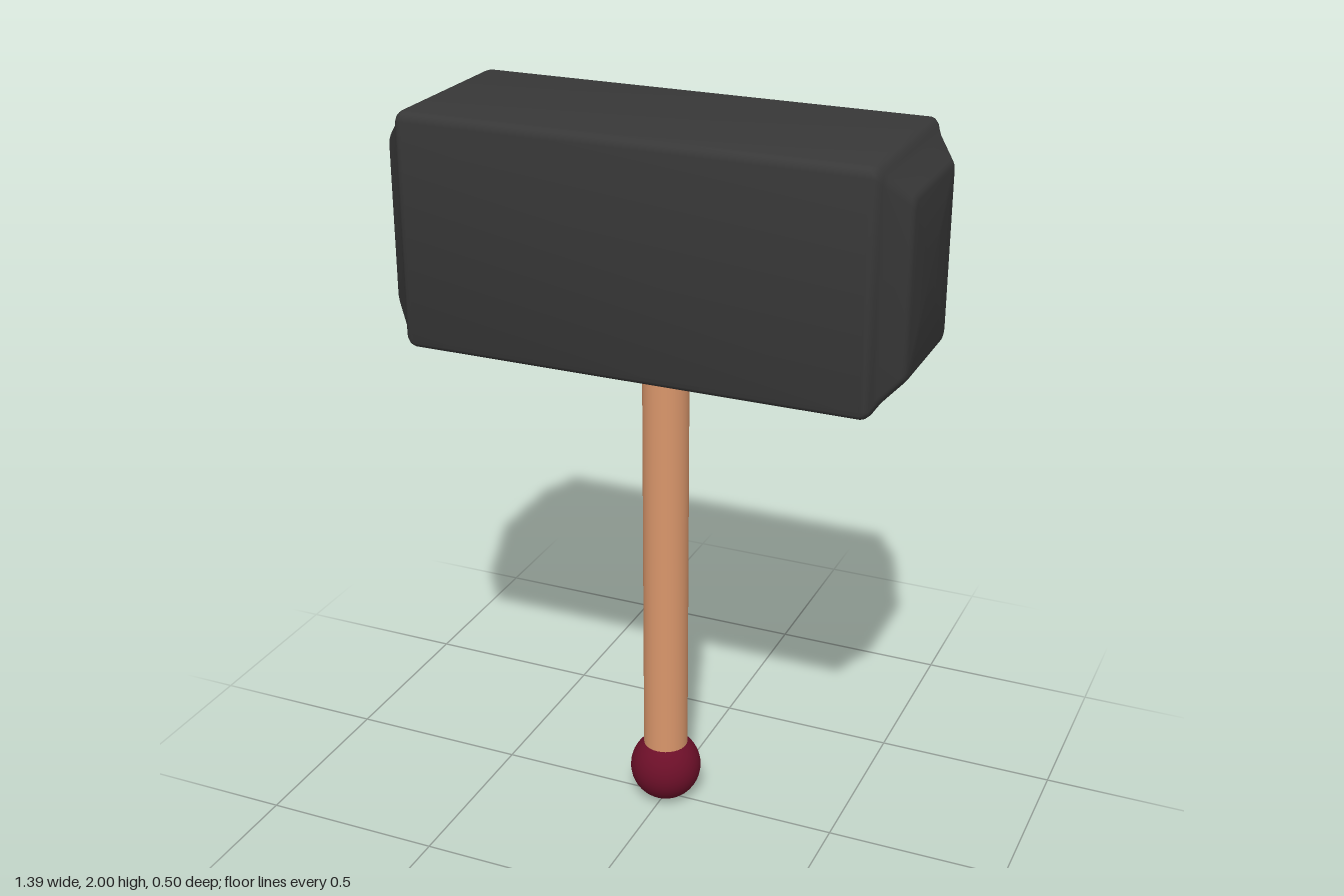
import * as THREE from 'three';
import { toCreasedNormals } from 'three/addons/utils/BufferGeometryUtils.js';

const CENTER_Y = 1.6875, HALF_H = 0.3125, HALF_D = 0.2525;

// Rounded rectangle in the y-z plane at a given x, shrunk by inset
function section(x, inset, radius = 0.025, steps = 4) {
  const points = [];
  const h = HALF_H - inset - radius, d = HALF_D - inset - radius;
  const corners = [[1, 1], [-1, 1], [-1, -1], [1, -1]];
  corners.forEach(([sy, sz], k) => {
    for (let i = 0; i <= steps; i++) {
      const a = (k + i / steps) * Math.PI / 2;
      points.push([x, CENTER_Y + sy * h + radius * Math.cos(a), sz * d + radius * Math.sin(a)]);
    }
  });
  return points;
}

// Closed skin over the sections, which run from -x to +x
function loft(rings) {
  const pos = [];
  const n = rings[0].length;
  const tri = (...corners) => corners.forEach((p) => pos.push(...p));
  for (let i = 0; i < rings.length - 1; i++) {
    for (let j = 0; j < n; j++) {
      const k = (j + 1) % n;
      const a = rings[i][j], b = rings[i][k], c = rings[i + 1][k], d = rings[i + 1][j];
      tri(a, b, c);
      tri(a, c, d);
    }
  }
  const first = rings[0], last = rings[rings.length - 1];
  for (let j = 0; j < n; j++) {
    const k = (j + 1) % n;
    tri([last[0][0], CENTER_Y, 0], last[j], last[k]);
    tri([first[0][0], CENTER_Y, 0], first[k], first[j]);
  }
  const geo = new THREE.BufferGeometry();
  geo.setAttribute('position', new THREE.Float32BufferAttribute(pos, 3));
  return toCreasedNormals(geo, 0.6);
}

export function createModel() {
  const group = new THREE.Group();
  const iron = new THREE.MeshStandardMaterial({ color: 0x383838 });
  const wood = new THREE.MeshStandardMaterial({ color: 0xd9966b });
  const red = new THREE.MeshStandardMaterial({ color: 0x6b0f28 });

  const add = (name, geometry, material, y = 0) => {
    const mesh = new THREE.Mesh(geometry, material);
    mesh.name = name;
    mesh.position.y = y;
    group.add(mesh);
  };

  // Block head with softened edges and a bevel at each striking face: [x, inset]
  const half = [[0.607, 0], [0.618, 0.003], [0.627, 0.01], [0.633, 0.02], [0.641, 0.032],
    [0.686, 0.077], [0.692, 0.084], [0.695, 0.096]];
  const profile = [...half.map(([x, inset]) => [-x, inset]).reverse(), ...half];
  add('head', loft(profile.map(([x, inset]) => section(x, inset))), iron);

  // Rounded collar where the handle enters the head
  const collar = [[0.05, 1.352], [0.08, 1.352], [0.09, 1.355], [0.096, 1.362], [0.098, 1.372], [0.098, 1.39]]
    .map(([r, y]) => new THREE.Vector2(r, y));
  add('collar', new THREE.LatheGeometry(collar, 40), iron);

  // Round wooden handle
  add('handle', new THREE.CylinderGeometry(0.062, 0.062, 1.26, 32), wood, 0.77);

  // Ball pommel
  add('pommel', new THREE.SphereGeometry(0.1, 40, 24), red, 0.1);

  return group;
}
